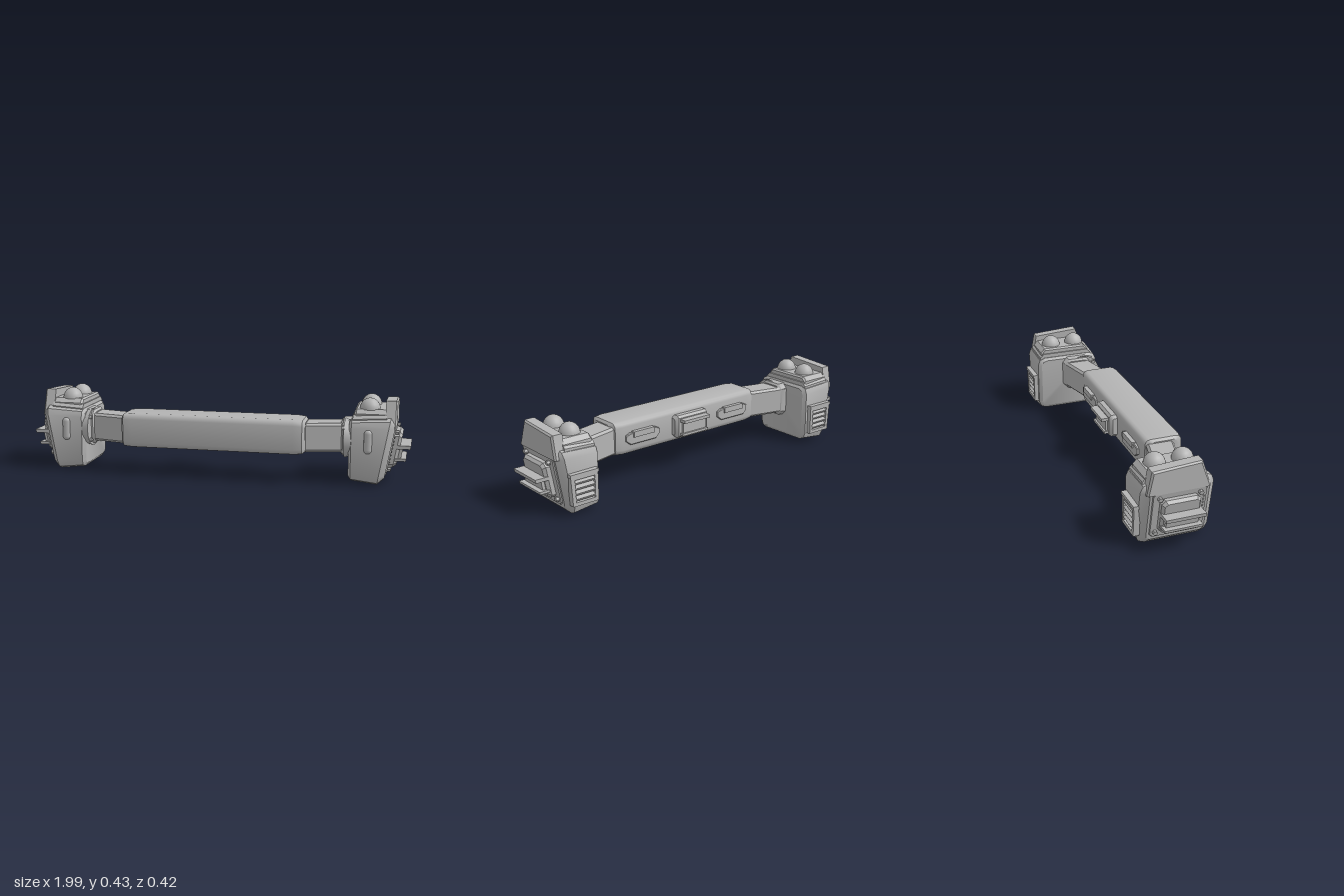
import * as THREE from 'three';
import { toCreasedNormals } from 'three/addons/utils/BufferGeometryUtils.js';

const CREASE = 0.6;
const OUTER = 0.865; // x of the pod's outer face at ground level
const LEAN = 0.18;   // how far the outer face leans outward per unit of height

// Rounded rectangle in the y-z plane, as [y, z] points
function ring(y0, y1, z0, z1, r, n = 1) {
  const pts = [];
  const corners = [[y1 - r, z1 - r], [y0 + r, z1 - r], [y0 + r, z0 + r], [y1 - r, z0 + r]];
  corners.forEach(([y, z], k) => {
    for (let i = 0; i <= n; i++) {
      const a = (k + i / n) * Math.PI / 2;
      pts.push([y + r * Math.cos(a), z + r * Math.sin(a)]);
    }
  });
  return pts;
}

// Skin a row of [x, ring] cross-sections and cap both ends
function loft(sections) {
  const pos = [], idx = [], n = sections[0][1].length;
  for (const [x, pts] of sections) for (const [y, z] of pts) pos.push(x, y, z);
  for (let s = 0; s < sections.length - 1; s++) {
    for (let j = 0; j < n; j++) {
      const k = (j + 1) % n, a = s * n + j, b = s * n + k;
      idx.push(a, b, b + n, a, b + n, a + n);
    }
  }
  const last = (sections.length - 1) * n;
  for (let j = 1; j < n - 1; j++) {
    idx.push(0, j + 1, j, last, last + j, last + j + 1);
  }
  const g = new THREE.BufferGeometry();
  g.setAttribute('position', new THREE.Float32BufferAttribute(pos, 3));
  g.setIndex(idx);
  return toCreasedNormals(g, CREASE);
}

// Box from its limits
function box(x0, x1, y0, y1, z0, z1) {
  return new THREE.BoxGeometry(x1 - x0, y1 - y0, z1 - z0)
    .translate((x0 + x1) / 2, (y0 + y1) / 2, (z0 + z1) / 2);
}

// Slant a geometry so that it follows the leaning outer face
function lean(g, from = -Infinity) {
  const p = g.attributes.position;
  for (let i = 0; i < p.count; i++) {
    if (p.getX(i) > from) p.setX(i, p.getX(i) + LEAN * p.getY(i));
  }
  return toCreasedNormals(g, CREASE);
}

// Mirrored copy with the corner order restored
function mirrorX(geo) {
  const g = geo.index ? geo.toNonIndexed() : geo.clone();
  for (const key of ['position', 'normal']) {
    const a = g.attributes[key];
    for (let i = 0; i < a.count; i += 3) {
      const t = [0, 2, 1].map(k => [-a.getX(i + k), a.getY(i + k), a.getZ(i + k)]);
      t.forEach((v, k) => a.setXYZ(i + k, ...v));
    }
  }
  return g;
}

export function createModel() {
  const model = new THREE.Group();
  model.name = 'barWithPods';
  const grey = new THREE.MeshStandardMaterial({ color: 0xb4b4b4 });
  grey.name = 'plain grey';
  const sides = ['left', 'right'].map(name => {
    const g = new THREE.Group();
    g.name = name + 'Side';
    model.add(g);
    return g;
  });
  const add = (name, geo, parent = model) => {
    const m = new THREE.Mesh(geo, grey);
    m.name = name;
    parent.add(m);
  };
  const pair = (name, geo) => {
    add(name, geo, sides[0]);
    add(name, mirrorX(geo), sides[1]);
  };

  // Central bar with tapered ends
  const barEnd = ring(0.16, 0.308, 0.03, 0.18, 0.025, 3);
  const barMid = ring(0.147, 0.324, 0, 0.205, 0.028, 3);
  const barNear = ring(0.15, 0.32, 0.008, 0.2, 0.028, 3);
  add('centralBar', loft([[-0.478, barEnd], [-0.465, barNear], [-0.42, barMid],
    [0.42, barMid], [0.465, barNear], [0.478, barEnd]]));

  // Clasp on the back of the bar
  add('claspBase', loft([[-0.11, ring(0.19, 0.28, -0.025, 0.01, 0.008)],
    [-0.095, ring(0.175, 0.295, -0.04, 0.01, 0.012)],
    [0.095, ring(0.175, 0.295, -0.04, 0.01, 0.012)],
    [0.11, ring(0.19, 0.28, -0.025, 0.01, 0.008)]]));
  add('claspBlock', box(-0.075, 0.075, 0.2, 0.262, -0.052, -0.03));
  add('claspUpperLip', box(-0.085, 0.085, 0.262, 0.278, -0.078, -0.03));
  add('claspLowerLip', box(-0.085, 0.085, 0.19, 0.203, -0.062, -0.03));

  // Flat latches either side of the clasp
  pair('latchPlate', loft([[0.2, ring(0.22, 0.25, -0.01, 0.005, 0.004)],
    [0.225, ring(0.2, 0.262, -0.015, 0.005, 0.004)],
    [0.385, ring(0.2, 0.262, -0.015, 0.005, 0.004)],
    [0.41, ring(0.22, 0.25, -0.01, 0.005, 0.004)]]));
  pair('latchRidge', box(0.24, 0.37, 0.238, 0.268, -0.022, 0));

  // Arms angled back to the pods
  pair('arm', loft([[0.45, ring(0.155, 0.302, 0.018, 0.16, 0.012)],
    [0.7, ring(0.155, 0.302, -0.042, 0.1, 0.012)]]));

  // Collar and round flange on the inner face of the pod
  pair('collar', loft([[0.648, ring(0.148, 0.308, -0.025, 0.108, 0.02)],
    [0.66, ring(0.138, 0.318, -0.035, 0.118, 0.025)],
    [0.71, ring(0.132, 0.322, -0.04, 0.122, 0.025)]]));
  const flange = new THREE.CylinderGeometry(0.1, 0.09, 0.04, 24)
    .rotateZ(Math.PI / 2).translate(0.688, 0.225, 0.075);
  pair('flange', toCreasedNormals(flange, CREASE));
  for (const y of [0.165, 0.285]) {
    pair('flangeBolt', new THREE.CylinderGeometry(0.01, 0.01, 0.02, 6)
      .rotateZ(Math.PI / 2).translate(0.665, y, 0.137));
  }

  // Pod body, upright on the inside and leaning on the outside
  pair('podBody', lean(loft([[0.692, ring(0.035, 0.315, -0.165, 0.148, 0.03, 2)],
    [0.705, ring(0.018, 0.328, -0.184, 0.166, 0.04, 2)],
    [0.835, ring(0.002, 0.34, -0.187, 0.17, 0.045, 2)],
    [OUTER, ring(0.034, 0.312, -0.15, 0.137, 0.02, 2)]]), 0.75));
  pair('outerPlate', lean(loft([[OUTER - 0.01, ring(0.045, 0.302, -0.142, 0.13, 0.018)],
    [OUTER + 0.006, ring(0.052, 0.296, -0.135, 0.123, 0.016)]])));

  // Upright fin above the outer face
  const fin = k => [[0.407 - k, -0.145 + k], [0.423 - k, 0.097 - k], [0.29, 0.142 - k], [0.29, -0.168 + k]];
  pair('fin', loft([[0.868, fin(0)], [0.918, fin(0)], [0.926, fin(0.008)]]));

  // Deck and domes on top of the pod
  pair('deckStep', loft([[0.708, ring(0.28, 0.35, -0.168, 0.135, 0.02)],
    [0.875, ring(0.28, 0.36, -0.172, 0.135, 0.02)]]));
  pair('deck', loft([[0.715, ring(0.3, 0.37, -0.155, 0.115, 0.02)],
    [0.725, ring(0.3, 0.378, -0.16, 0.12, 0.022)],
    [0.875, ring(0.3, 0.378, -0.16, 0.12, 0.022)]]));
  const domeProfile = [[0.052, 0], [0.051, 0.012], [0.045, 0.028], [0.034, 0.042],
    [0.02, 0.051], [0.01, 0.054], [0, 0.055]].map(p => new THREE.Vector2(...p));
  for (const z of [-0.08, 0.057]) {
    pair('dome', new THREE.LatheGeometry(domeProfile, 24).translate(0.788, 0.374, z));
  }

  // Raised lamp on the front of the pod
  pair('frontLamp', new THREE.CapsuleGeometry(0.02, 0.08, 6, 16)
    .scale(1, 1, 0.7).translate(0.788, 0.225, 0.168));

  // Stepped block with two projecting ledges on the outer face
  pair('sideBlock', lean(loft([[OUTER, ring(0.082, 0.263, -0.103, 0.088, 0.018)],
    [OUTER + 0.028, ring(0.082, 0.263, -0.103, 0.088, 0.018)],
    [OUTER + 0.044, ring(0.095, 0.25, -0.092, 0.077, 0.014)]])));
  pair('sideInset', lean(box(OUTER, OUTER + 0.06, 0.13, 0.18, -0.085, 0.072)));
  pair('upperLedge', lean(box(OUTER, 0.961, 0.18, 0.198, -0.104, 0.09)));
  pair('lowerLedge', lean(box(OUTER, 0.951, 0.117, 0.13, -0.1, 0.086)));

  // Hexagonal bolts and a row of rivets
  for (const [y, z] of [[0.267, 0.091], [0.267, -0.106], [0.079, 0.101], [0.079, -0.114]]) {
    pair('bolt', lean(new THREE.CylinderGeometry(0.012, 0.012, 0.03, 6)
      .rotateZ(Math.PI / 2).translate(OUTER + 0.008, y, z)));
  }
  for (let i = 0; i < 8; i++) {
    const y = 0.11 + i * 0.018;
    pair('rivet', lean(box(OUTER, OUTER + 0.01, y, y + 0.006, 0.107, 0.113)));
  }

  // Louvred vent on the back of the pod
  const frame = new THREE.Shape([[0.72, 0.06], [0.862, 0.06], [0.872, 0.205], [0.72, 0.205]]
    .map(p => new THREE.Vector2(...p)));
  frame.holes.push(new THREE.Path([[0.738, 0.078], [0.738, 0.19], [0.85, 0.19], [0.845, 0.078]]
    .map(p => new THREE.Vector2(...p))));
  pair('ventFrame', new THREE.ExtrudeGeometry(frame, { depth: 0.03, bevelEnabled: false })
    .translate(0, 0, -0.207));
  pair('ventHood', box(0.718, 0.875, 0.205, 0.221, -0.211, -0.17));
  for (let i = 0; i < 4; i++) {
    pair('ventSlat', new THREE.BoxGeometry(0.112, 0.012, 0.022).rotateX(-0.5)
      .translate(0.793, 0.094 + i * 0.027, -0.194));
  }
  return model;
}
